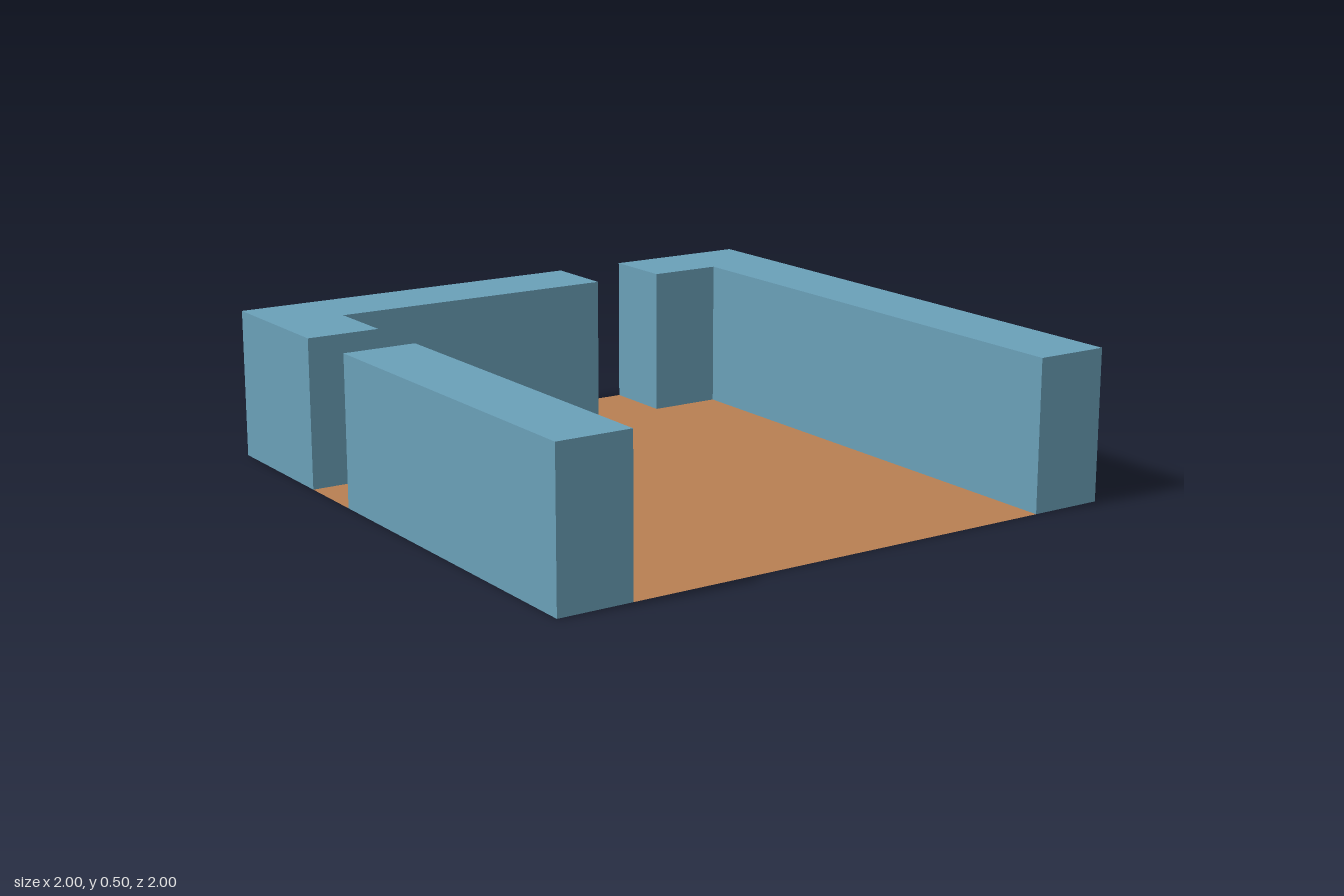
import * as THREE from 'three';

const HEIGHT = 0.5;
const wallMaterial = new THREE.MeshStandardMaterial({ color: 0x6aa0b8 });
const floorMaterial = new THREE.MeshStandardMaterial({ color: 0xb87f52, side: THREE.DoubleSide });

// Plan outline from [x, z] corners; laid flat by rotateX below
function plan(corners) {
  return new THREE.Shape(corners.map(([x, z]) => new THREE.Vector2(x, -z)));
}

function addPart(group, name, geometry, material) {
  const mesh = new THREE.Mesh(geometry.rotateX(-Math.PI / 2), material);
  mesh.name = name;
  group.add(mesh);
}

export function createModel() {
  const group = new THREE.Group();
  group.name = 'walledRoom';

  // Walls, open at the front, with a doorway in the back and one in the right side
  const walls = {
    leftWall: [[0.5, -1], [1, -1], [1, 1], [0.75, 1], [0.75, -0.75], [0.5, -0.75]],
    backCornerWall: [[-1, -1], [0.25, -1], [0.25, -0.75], [-0.75, -0.75], [-0.75, -0.5], [-1, -0.5]],
    rightWall: [[-1, -0.25], [-0.75, -0.25], [-0.75, 1], [-1, 1]],
  };
  for (const [name, corners] of Object.entries(walls)) {
    const geometry = new THREE.ExtrudeGeometry(plan(corners), { depth: HEIGHT, bevelEnabled: false });
    addPart(group, name, geometry, wallMaterial);
  }

  // Thin floor filling the room and both doorways
  const floor = plan([
    [-0.75, 1], [0.75, 1], [0.75, -0.75], [0.5, -0.75], [0.5, -1], [0.25, -1], [0.25, -0.75],
    [-0.75, -0.75], [-0.75, -0.5], [-1, -0.5], [-1, -0.25], [-0.75, -0.25],
  ]);
  addPart(group, 'floor', new THREE.ShapeGeometry(floor), floorMaterial);

  return group;
}
